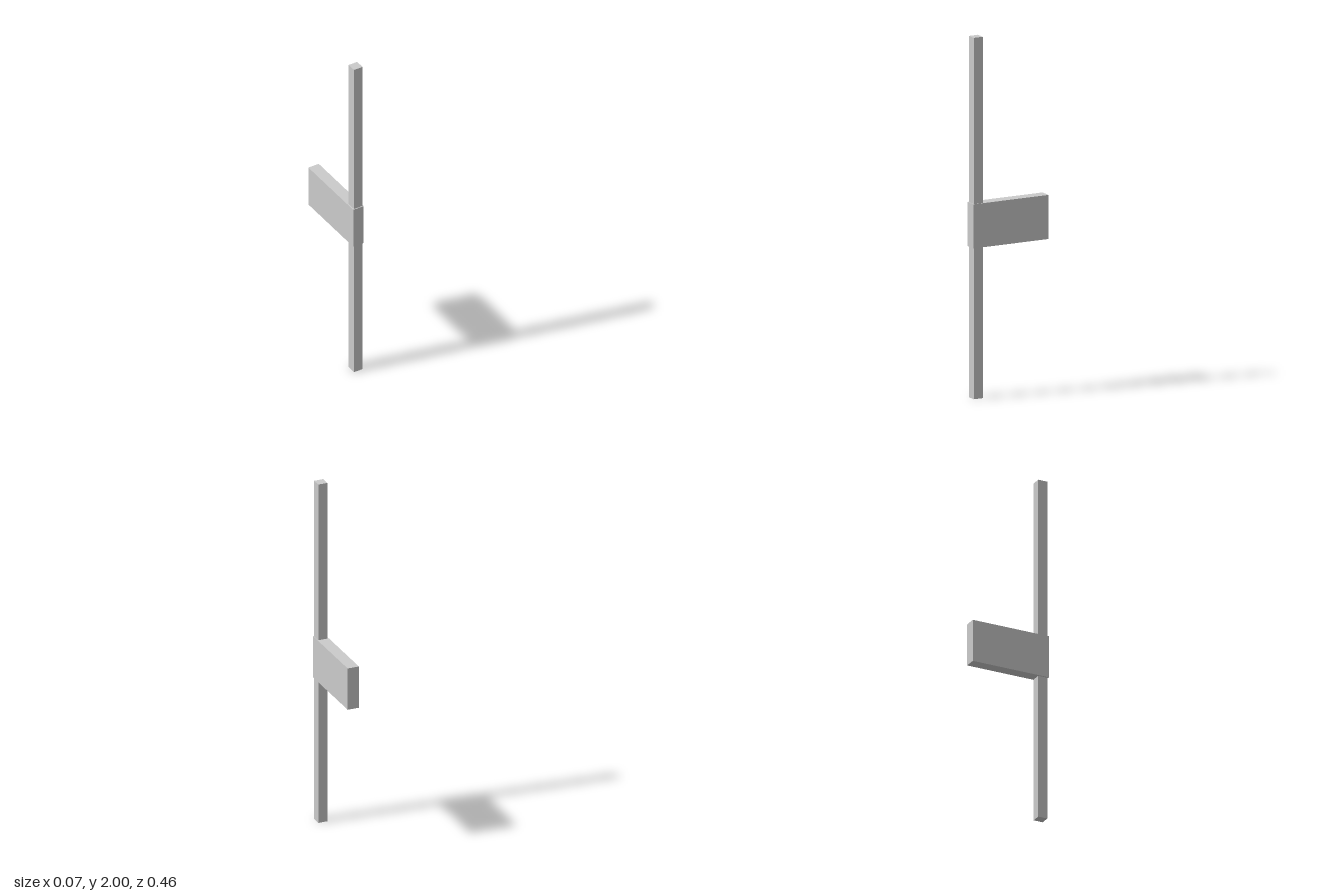
import * as THREE from 'three';

const material = new THREE.MeshStandardMaterial({ color: 0xcccccc, flatShading: true });

// Box given by its lower and upper corners
function box(name, min, max) {
  const size = max.map((v, i) => v - min[i]);
  const mesh = new THREE.Mesh(new THREE.BoxGeometry(...size), material);
  mesh.position.set(...max.map((v, i) => (v + min[i]) / 2));
  mesh.name = name;
  return mesh;
}

export function createModel() {
  const group = new THREE.Group();
  group.name = 'poleWithBracket';

  // Tall square pole, slightly off-centre in the bracket
  group.add(box('pole', [-0.025, 0, 0.17], [0.029, 2, 0.225]));

  // Wide bracket wrapping the pole and reaching back
  group.add(box('bracket', [-0.033, 0.836, -0.23], [0.033, 1.08, 0.23]));

  return group;
}
